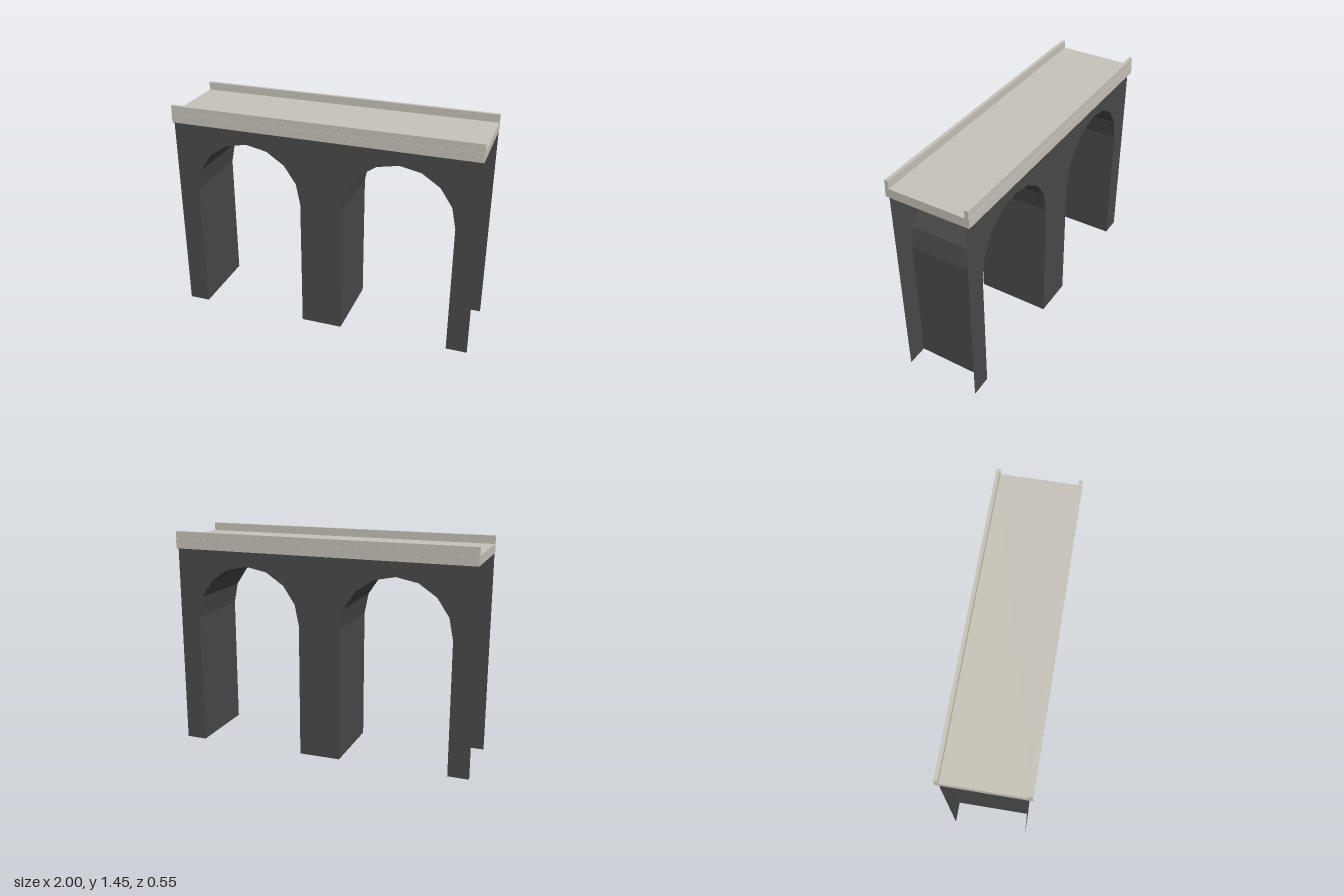
import * as THREE from 'three';

const HALF_LENGTH = 1, HALF_WIDTH = 0.25;
const WALL_TOP = 1.34, DECK_TOP = 1.4, RAIL_TOP = 1.452;
const ARCH_X = 0.5, ARCH_R = 0.362, SPRING_Y = 0.88, ARCH_SEGMENTS = 8;

// Outline of one arch opening, from its left foot over the crown to its right foot
function archOutline(cx) {
  const points = [new THREE.Vector2(cx - ARCH_R, 0)];
  for (let i = 0; i <= ARCH_SEGMENTS; i++) {
    const a = Math.PI * (1 - i / ARCH_SEGMENTS);
    points.push(new THREE.Vector2(cx + ARCH_R * Math.cos(a), SPRING_Y + ARCH_R * Math.sin(a)));
  }
  points.push(new THREE.Vector2(cx + ARCH_R, 0));
  return points;
}

// Strip running through the bridge along an arch outline, facing the opening
function archLining(outline) {
  const positions = [], index = [];
  outline.forEach((p, i) => {
    positions.push(p.x, p.y, HALF_WIDTH, p.x, p.y, -HALF_WIDTH);
    if (i > 0) {
      const a = 2 * (i - 1), b = 2 * i;
      index.push(a, b + 1, a + 1, a, b, b + 1);
    }
  });
  const g = new THREE.BufferGeometry();
  g.setAttribute('position', new THREE.Float32BufferAttribute(positions, 3));
  g.setIndex(index);
  const flat = g.toNonIndexed();
  flat.computeVertexNormals();
  return flat;
}

export function createModel() {
  const bridge = new THREE.Group();
  bridge.name = 'archBridge';

  const darkStone = new THREE.MeshStandardMaterial({ color: 0x4a4a4a, flatShading: true, side: THREE.DoubleSide });
  darkStone.name = 'darkStone';
  const paleStone = new THREE.MeshStandardMaterial({ color: 0xc8c4ba, flatShading: true });
  paleStone.name = 'paleStone';

  const add = (name, geometry, material, x = 0, y = 0, z = 0) => {
    const mesh = new THREE.Mesh(geometry, material);
    mesh.name = name;
    mesh.position.set(x, y, z);
    bridge.add(mesh);
    return mesh;
  };

  const leftArch = archOutline(ARCH_X), rightArch = archOutline(-ARCH_X);

  // Side walls: thin faces with two arches cut out; the ends and feet stay open
  const wallShape = new THREE.Shape([
    new THREE.Vector2(-HALF_LENGTH, 0), ...rightArch, ...leftArch,
    new THREE.Vector2(HALF_LENGTH, 0),
    new THREE.Vector2(HALF_LENGTH, WALL_TOP), new THREE.Vector2(-HALF_LENGTH, WALL_TOP),
  ]);
  const wall = new THREE.ShapeGeometry(wallShape);
  add('frontWall', wall, darkStone, 0, 0, HALF_WIDTH);
  add('backWall', wall, darkStone, 0, 0, -HALF_WIDTH).rotation.y = Math.PI;

  // Linings of the two arches
  add('leftArchLining', archLining(leftArch), darkStone);
  add('rightArchLining', archLining(rightArch), darkStone);

  // Road deck, slightly wider than the walls
  const deckHeight = DECK_TOP - WALL_TOP;
  add('deck', new THREE.BoxGeometry(2 * HALF_LENGTH, deckHeight, 0.55), paleStone, 0, WALL_TOP + deckHeight / 2);

  // Low parapets along both edges
  const railHeight = RAIL_TOP - DECK_TOP;
  const rail = new THREE.BoxGeometry(2 * HALF_LENGTH, railHeight, 0.023);
  for (const [name, s] of [['frontParapet', 1], ['backParapet', -1]]) {
    add(name, rail, paleStone, 0, DECK_TOP + railHeight / 2, s * 0.2605);
  }

  return bridge;
}
